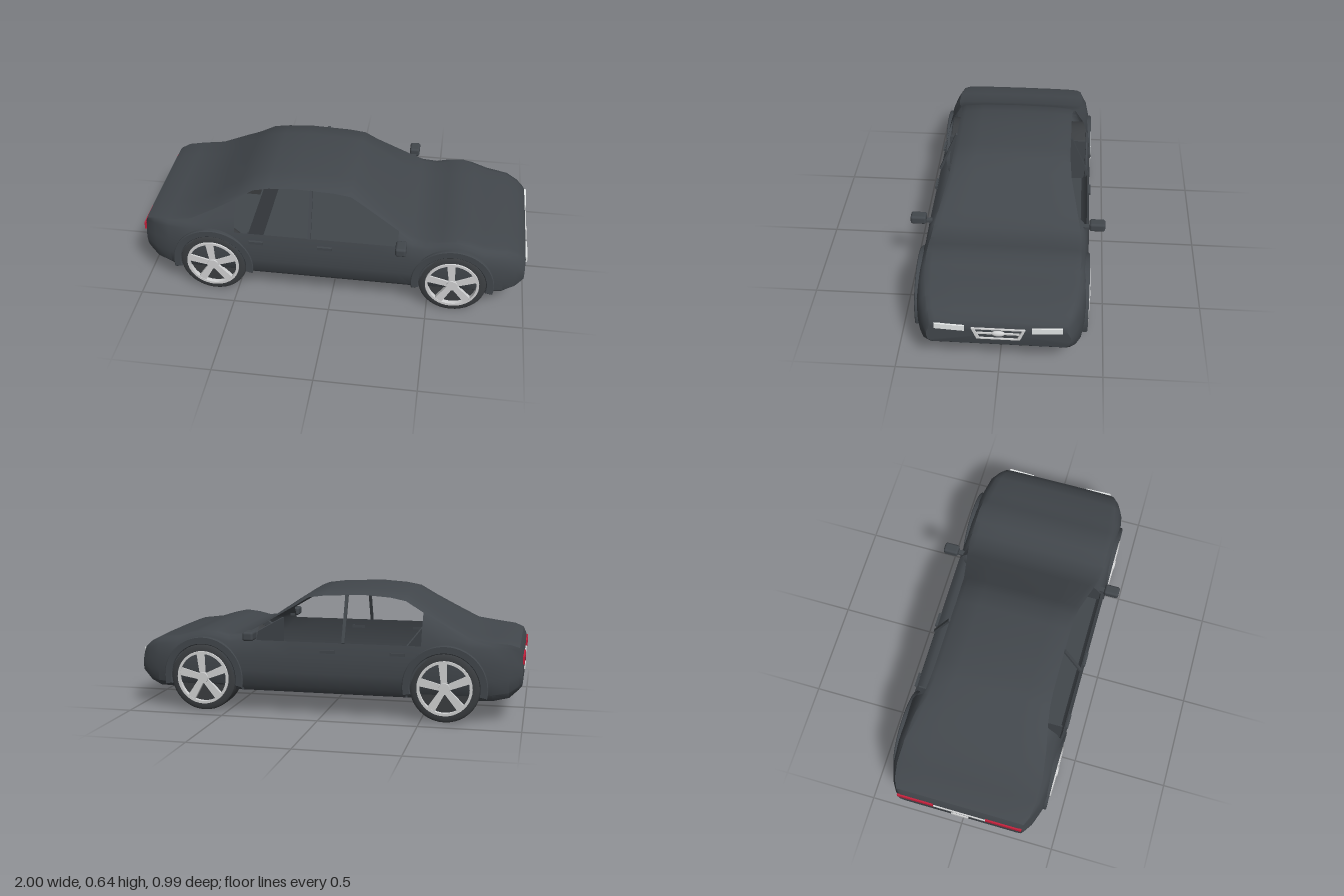
import * as THREE from 'three';
import { toCreasedNormals } from 'three/addons/utils/BufferGeometryUtils.js';
import { RoundedBoxGeometry } from 'three/addons/geometries/RoundedBoxGeometry.js';

const material = (name, color, side = THREE.FrontSide) => {
  const m = new THREE.MeshStandardMaterial({ color, side });
  m.name = name;
  return m;
};

// Body stations: x, centre height, roof edge half width
const STATIONS = [
  [-0.992, 0.35, 0.31], [-0.975, 0.385, 0.335], [-0.93, 0.402, 0.355], [-0.85, 0.41, 0.368],
  [-0.73, 0.428, 0.366], [-0.6, 0.5, 0.347], [-0.5, 0.56, 0.325], [-0.41, 0.615, 0.31],
  [-0.33, 0.63, 0.305], [-0.2, 0.639, 0.304], [0, 0.632, 0.304], [0.09, 0.62, 0.307],
  [0.16, 0.575, 0.315], [0.34, 0.452, 0.355], [0.41, 0.412, 0.37], [0.49, 0.402, 0.375],
  [0.56, 0.418, 0.376], [0.63, 0.425, 0.376], [0.7, 0.409, 0.372], [0.77, 0.387, 0.367],
  [0.88, 0.375, 0.35], [0.94, 0.345, 0.335], [0.975, 0.314, 0.32], [0.985, 0.3, 0.31],
];
const BELT = 4; // ring index of the window sill
const EDGE = 6; // ring index of the roof edge

// Closed cross-section from the +z sill, over the roof, to the -z sill
function ringAt([x, top, edgeWidth]) {
  const ax = Math.abs(x);
  const bottom = 0.113 + 0.07 * Math.max(0, (ax - 0.88) / 0.11) ** 2;
  const width = 0.415 - 0.08 * Math.max(0, (ax - 0.6) / 0.39) ** 4;
  const belt = Math.min(0.378, top - 0.038);
  const edge = top - 0.008 - 0.02 * THREE.MathUtils.smoothstep(top, 0.42, 0.6);
  const half = [[0.91, 0], [0.983, 0.13], [1, 0.4], [1, 0.72], [0.965, 1]]
    .map(([f, t]) => [width * f, bottom + (belt - bottom) * t]);
  half.push([(width * 0.965 + edgeWidth) / 2 + (edge - belt) * 0.07, (belt + edge) / 2]);
  half.push([edgeWidth, edge]);
  half.push([edgeWidth * 0.92, edge + (top - edge) * 0.5], [edgeWidth * 0.6, edge + (top - edge) * 0.85]);
  const other = half.map(([z, y]) => [-z, y]).reverse();
  return [...half, [0, top], ...other].map(([z, y]) => [x, y, z]);
}

// Hollow body shell with open side windows
function bodyGeometry() {
  const rings = STATIONS.map(ringAt);
  const n = rings[0].length;
  const pos = rings.flat(2);
  const index = [];
  for (let i = 0; i < rings.length - 1; i++) {
    const glazed = STATIONS[i][0] >= -0.5 && STATIONS[i + 1][0] <= 0.34;
    for (let j = 0; j < n; j++) {
      const k = Math.min(j, n - 2 - j);
      if (glazed && k >= BELT && k < EDGE) continue;
      const j2 = (j + 1) % n;
      const a = i * n + j, b = a + n, d = i * n + j2, c = d + n;
      index.push(a, b, d, b, c, d);
    }
  }
  // Flat nose and tail caps
  for (const [i, front] of [[0, false], [rings.length - 1, true]]) {
    const centre = pos.length / 3;
    pos.push(STATIONS[i][0], 0.25, 0);
    for (let j = 0; j < n; j++) {
      const a = i * n + j, b = i * n + (j + 1) % n;
      index.push(centre, ...(front ? [b, a] : [a, b]));
    }
  }
  const g = new THREE.BufferGeometry();
  g.setAttribute('position', new THREE.Float32BufferAttribute(pos, 3));
  g.setIndex(index);
  return toCreasedNormals(g, 0.65);
}

// Half-ring lip over a wheel
function archGeometry() {
  const s = new THREE.Shape();
  s.absarc(0, 0, 0.208, -0.2, Math.PI + 0.2, false);
  s.absarc(0, 0, 0.176, Math.PI + 0.2, -0.2, true);
  return new THREE.ExtrudeGeometry(s, {
    depth: 0.02, bevelEnabled: true, bevelSize: 0.004, bevelThickness: 0.004, bevelSegments: 1, curveSegments: 24,
  });
}

const lathe = (points) => {
  const g = new THREE.LatheGeometry(points.map(([r, y]) => new THREE.Vector2(r, y)), 40);
  return toCreasedNormals(g.rotateX(Math.PI / 2), 0.6);
};

// Flat plate cut from corner points
const plate = (points, depth, hole) => {
  const toVectors = (list) => list.map(([x, y]) => new THREE.Vector2(x, y));
  const s = new THREE.Shape(toVectors(points));
  if (hole) s.holes.push(new THREE.Path(toVectors(hole)));
  return new THREE.ExtrudeGeometry(s, { depth, bevelEnabled: false });
};

export function createModel() {
  const car = new THREE.Group();
  car.name = 'car';
  const paint = material('body paint', 0x42474c, THREE.DoubleSide);
  const rubber = material('tyre rubber', 0x3b3e41, THREE.DoubleSide);
  const alloy = material('wheel alloy', 0xd2d3d4, THREE.DoubleSide);
  const lamp = material('clear lamp', 0xe6e9e9);
  const red = material('red lamp', 0xc4213c);

  const add = (parent, name, geometry, mat, x = 0, y = 0, z = 0) => {
    const m = new THREE.Mesh(geometry, mat);
    m.name = name;
    m.position.set(x, y, z);
    parent.add(m);
    return m;
  };
  const box = (w, h, d) => new THREE.BoxGeometry(w, h, d);

  add(car, 'bodyShell', bodyGeometry(), paint);
  for (const x of [-0.43, 0.42]) add(car, 'cabinBulkhead', box(0.008, 0.262, 0.78), paint, x, 0.246, 0);

  // Wheels, built facing +z and turned round for the other side
  const tyre = lathe([[0.13, -0.07], [0.16, -0.07], [0.171, -0.06], [0.175, -0.045], [0.175, 0.045],
    [0.171, 0.06], [0.16, 0.067], [0.138, 0.067], [0.13, 0.05]]);
  const rim = lathe([[0.124, 0.045], [0.124, 0.074], [0.137, 0.074], [0.139, 0.06]]);
  const disc = new THREE.CylinderGeometry(0.131, 0.131, 0.1, 40).rotateX(Math.PI / 2);
  const hub = new THREE.CylinderGeometry(0.028, 0.031, 0.03, 20).rotateX(Math.PI / 2);
  const spoke = plate([[0.015, -0.015], [0.128, -0.021], [0.128, 0.021], [0.015, 0.015]], 0.02);
  const arch = archGeometry();
  for (const side of [1, -1]) {
    for (const x of [-0.62, 0.625]) {
      const wheel = new THREE.Group();
      wheel.name = x > 0 ? 'frontWheel' : 'rearWheel';
      wheel.position.set(x, 0.175, side * 0.35);
      if (side < 0) wheel.rotation.y = Math.PI;
      add(wheel, 'tyre', tyre, rubber);
      add(wheel, 'wheelDisc', disc, rubber);
      add(wheel, 'rim', rim, alloy);
      add(wheel, 'hub', hub, alloy, 0, 0, 0.064);
      for (let i = 0; i < 5; i++) {
        add(wheel, 'spoke', spoke, alloy, 0, 0, 0.052).rotation.z = 0.4 + i * Math.PI * 0.4;
      }
      add(wheel, 'wheelArch', arch, paint, 0, 0, 0.045);
      car.add(wheel);
    }

    // Door pillar, handles and mirrors
    add(car, 'doorPillar', box(0.016, 0.25, 0.012), paint, -0.11, 0.495, side * 0.354).rotation.x = -side * 0.4;
    for (const x of [-0.385, -0.03]) {
      add(car, 'doorHandle', box(0.075, 0.016, 0.014), paint, x, 0.334, side * 0.413);
    }
    add(car, 'mirror', new RoundedBoxGeometry(0.055, 0.046, 0.08, 3, 0.012), paint, 0.36, 0.409, side * 0.453);
    add(car, 'mirrorStalk', box(0.025, 0.015, 0.06), paint, 0.36, 0.396, side * 0.405);

    // Lamps
    const corners = [[0.158, 0.262], [0.3, 0.271], [0.3, 0.3], [0.158, 0.293]].map(([z, y]) => [-side * z, y]);
    add(car, 'headlight', plate(corners, 0.0095), lamp, 0.984).rotation.y = Math.PI / 2;
    add(car, 'tailLight', box(0.0095, 0.04, 0.19), red, -0.995, 0.316, side * 0.234);
  }

  // Grille frame as a hollow trapezoid with a crossbar and a plain oval boss
  const outline = (k, dy) => [[-0.127 + k, 0.281 - dy], [0.127 - k, 0.281 - dy],
    [0.102 - k, 0.215 + dy], [-0.102 + k, 0.215 + dy]];
  add(car, 'grilleFrame', plate(outline(0, 0), 0.009, outline(0.014, 0.006)), alloy, 0.984).rotation.y = Math.PI / 2;
  add(car, 'grilleBar', box(0.008, 0.008, 0.2), alloy, 0.988, 0.25, 0);
  add(car, 'grilleBoss', new THREE.SphereGeometry(1, 24, 12), alloy, 0.988, 0.25, 0).scale.set(0.012, 0.016, 0.032);

  // Tail trim
  add(car, 'tailStrip', box(0.009, 0.01, 0.28), alloy, -0.9945, 0.302, 0);
  add(car, 'numberPlate', box(0.009, 0.028, 0.09), alloy, -0.9945, 0.23, 0);
  return car;
}
